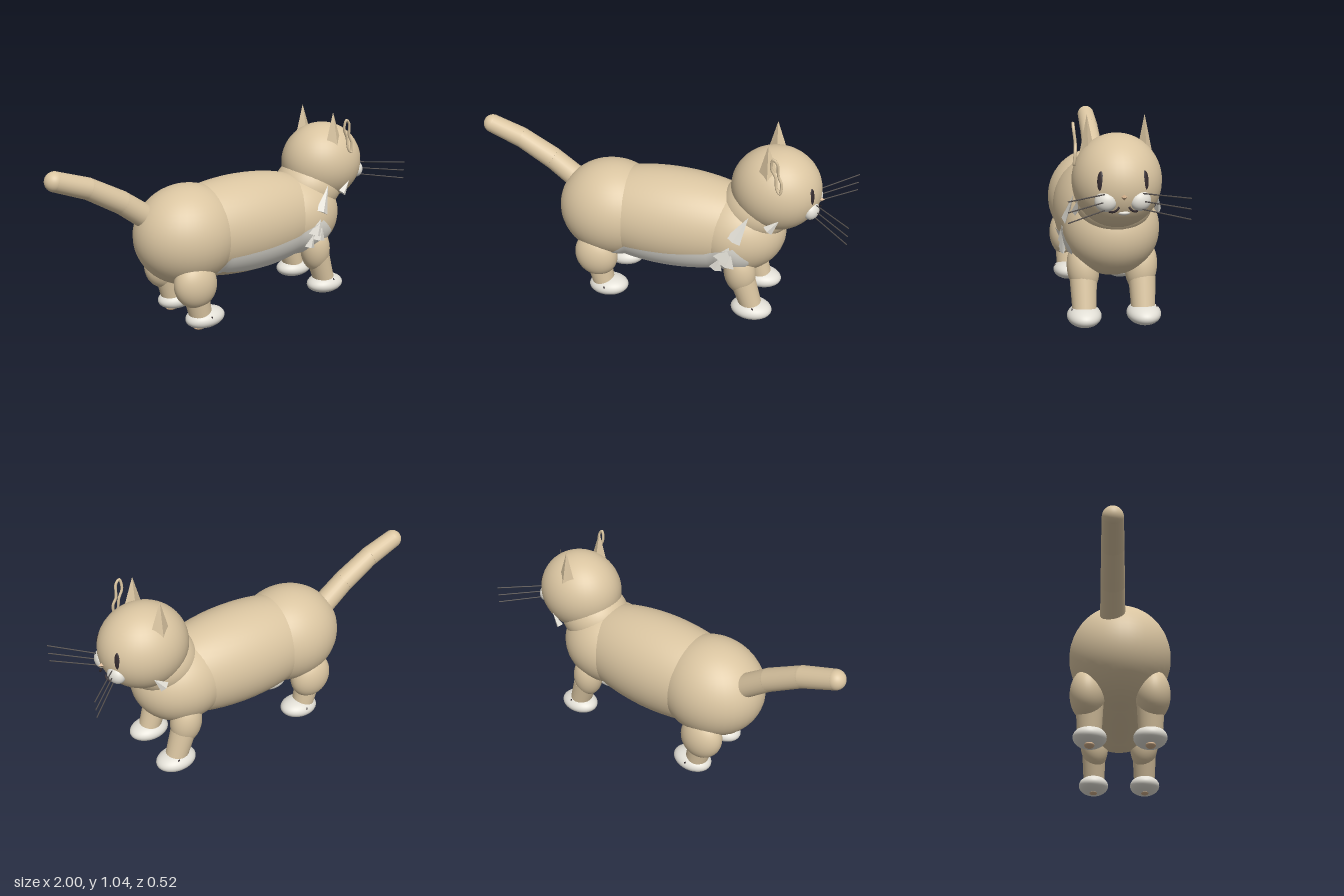
import * as THREE from 'three';

const mat = (name, color, side = THREE.FrontSide) => {
  const m = new THREE.MeshStandardMaterial({ color, side });
  m.name = name;
  return m;
};

export function createModel() {
  const cat = new THREE.Group();
  cat.name = 'cat';
  const fur = mat('tan fur', 0xdac5a1);
  const white = mat('white fur', 0xe2dfd6);
  const dark = mat('dark features', 0x352c30);
  const wire = mat('whisker grey', 0x55504e);
  const pink = mat('nose tan', 0xd2b08c);

  const add = (name, geo, material, pos = [0, 0, 0], rot = [0, 0, 0], scale = [1, 1, 1]) => {
    const m = new THREE.Mesh(geo, material);
    m.name = name;
    m.position.set(...pos);
    m.rotation.set(...rot);
    m.scale.set(...scale);
    cat.add(m);
    return m;
  };
  const ball = new THREE.SphereGeometry(1, 40, 28);
  const blob = (name, material, pos, radii, rot) => add(name, ball, material, pos, rot, radii);

  // Rod between two points, wider at the first if r0 > r1
  const rod = (name, material, a, b, r0, r1, sides = 24) => {
    const A = new THREE.Vector3(...a), B = new THREE.Vector3(...b);
    const d = B.clone().sub(A);
    const m = add(name, new THREE.CylinderGeometry(r1, r0, d.length(), sides), material);
    m.position.copy(A).add(B).multiplyScalar(0.5);
    m.quaternion.setFromUnitVectors(new THREE.Vector3(0, 1, 0), d.normalize());
  };

  // Four-sided flattened spike, faceted
  const spikeGeo = new THREE.ConeGeometry(1, 1, 4).toNonIndexed();
  spikeGeo.computeVertexNormals();
  const spike = (name, material, pos, size, rot) => add(name, spikeGeo, material, pos, rot, size);

  // Torso: overlapping ellipsoids
  const torso = [
    ['hips', [-0.26, 0.48, 0], [0.29, 0.265, 0.255]],
    ['barrel', [0.07, 0.48, 0], [0.59, 0.267, 0.25]],
    ['chest', [0.42, 0.475, 0], [0.26, 0.23, 0.235]],
    ['neck', [0.52, 0.62, 0], [0.19, 0.16, 0.18]],
  ];
  torso.forEach(([name, pos, radii]) => blob(name, fur, pos, radii));
  const sideZ = (x, y) => Math.max(...torso.map(([, p, r]) =>
    r[2] * Math.sqrt(Math.max(0, 1 - ((x - p[0]) / r[0]) ** 2 - ((y - p[1]) / r[1]) ** 2))));

  // White flank patch laid over the left side of the torso
  const lerpCurve = (pts, x) => {
    const i = Math.max(1, pts.findIndex((p) => p[0] >= x - 1e-6));
    const [a, b] = [pts[i - 1], pts[i]];
    return THREE.MathUtils.mapLinear(x, a[0], b[0], a[1], b[1]);
  };
  const upper = [[-0.21, 0.31], [-0.13, 0.385], [0.1, 0.4], [0.3, 0.425], [0.45, 0.49], [0.53, 0.41]];
  const lower = [[-0.21, 0.31], [-0.1, 0.28], [0.05, 0.26], [0.2, 0.255], [0.36, 0.275], [0.48, 0.33], [0.53, 0.39]];
  const patch = new THREE.PlaneGeometry(1, 1, 37, 10);
  const pp = patch.attributes.position;
  for (let i = 0; i < pp.count; i++) {
    const x = -0.21 + 0.74 * (pp.getX(i) + 0.5);
    const y = THREE.MathUtils.lerp(lerpCurve(lower, x), lerpCurve(upper, x), pp.getY(i) + 0.5);
    pp.setXYZ(i, x, y, sideZ(x, y) + 0.007);
  }
  patch.computeVertexNormals();
  add('flankPatch', patch, white);

  // Tail: three tapering sections with a round tip
  const tail = [[-0.44, 0.57], [-0.61, 0.697], [-0.785, 0.797], [-0.95, 0.857]];
  for (let i = 0; i < 3; i++) {
    const r = 0.063 - i * 0.004;
    const z = -0.037;
    rod('tailSection', fur, [...tail[i], z], [...tail[i + 1], z], r, r - 0.005);
    blob('tailJoint', fur, [...tail[i + 1], z], [1, 1, 1].map(() => r - 0.005));
  }

  // Head
  blob('head', fur, [0.61, 0.745, 0], [0.228, 0.217, 0.207]);
  spike('nose', pink, [0.845, 0.713, 0], [0.014, 0.022, 0.015], [0, 0, -Math.PI / 2]);
  blob('chin', white, [0.79, 0.635, -0.005], [0.025, 0.013, 0.032]);

  for (const s of [1, -1]) {
    // Ears and cheek tufts
    spike('ear', fur, [0.58, 0.955, 0.133 * s], [0.055, 0.18, 0.036], [0, 0, 0.06]);
    spike('cheekTuft', white, [0.635, 0.635, 0.19 * s], [0.028, 0.08, 0.016], [-0.1 * s, 0, -0.7]);

    // Face
    blob('eye', dark, [0.797, 0.776, 0.097 * s], [0.012, 0.047, 0.019], [0, -0.45 * s, 0.12]);
    blob('muzzle', white, [0.8, 0.688, 0.077 * s], [0.038, 0.046, 0.05], [0, -0.3 * s, 0]);
    const lip = new THREE.CatmullRomCurve3([
      [0.832, 0.668, 0.022], [0.835, 0.655, 0.032], [0.828, 0.646, 0.048], [0.812, 0.645, 0.062],
    ].map(([x, y, z]) => new THREE.Vector3(x, y, z * s)));
    add('lip', new THREE.TubeGeometry(lip, 12, 0.005, 8), dark);
    [[0.725, 0.736], [0.69, 0.69], [0.654, 0.645]].forEach(([y0, y1]) =>
      rod('whisker', wire, [0.825, y0, 0.085 * s], [0.998, y1, 0.26 * s], 0.003, 0.003, 8));

    // Front leg
    blob('frontUpperLeg', fur, [0.475, 0.29, 0.142 * s], [0.083, 0.13, 0.078], [0.1 * s, 0, 0.12]);
    rod('frontLowerLeg', fur, [0.495, 0.24, 0.143 * s], [0.545, 0.09, 0.143 * s], 0.066, 0.058);
    blob('frontPaw', white, [0.548, 0.074, 0.145 * s], [0.109, 0.051, 0.083]);

    // Hind leg
    blob('thigh', fur, [-0.31, 0.262, 0.16 * s], [0.117, 0.128, 0.086], [0, 0, 0.25]);
    rod('hindLowerLeg', fur, [-0.305, 0.22, 0.148 * s], [-0.275, 0.08, 0.148 * s], 0.068, 0.06);
    blob('hindPaw', white, [-0.248, 0.064, 0.147 * s], [0.109, 0.052, 0.083], [0, 0, 0.06]);

    // Paw pads and toe marks
    blob('hindPad', pink, [-0.28, 0.014, 0.147 * s], [0.035, 0.014, 0.025]);
    blob('frontPad', pink, [0.53, 0.027, 0.145 * s], [0.03, 0.008, 0.022]);
    blob('frontToeMark', dark, [0.565, 0.107, 0.205 * s], [0.004, 0.01, 0.004], [0, 0, 0.5]);
    blob('hindToeMark', dark, [-0.25, 0.085, 0.222 * s], [0.004, 0.009, 0.004], [0, 0, 0.5]);
  }

  // Loose looped ear flap on the left side
  const loop = new THREE.CatmullRomCurve3([
    [0.612, 1.01, 0.2], [0.632, 0.99, 0.2], [0.642, 0.92, 0.193], [0.66, 0.88, 0.196],
    [0.655, 0.828, 0.2], [0.638, 0.85, 0.195], [0.628, 0.91, 0.191], [0.605, 0.96, 0.194],
  ].map((p) => new THREE.Vector3(...p)), true);
  add('earFlap', new THREE.TubeGeometry(loop, 48, 0.007, 8, true), fur);

  // Shoulder tufts on the left side
  spike('shoulderTuft', white, [0.478, 0.595, 0.207], [0.04, 0.15, 0.018], [-0.25, 0, -0.45]);
  spike('shoulderTuft', white, [0.415, 0.455, 0.238], [0.052, 0.09, 0.018], [0, 0, -0.35]);
  spike('shoulderTuft', white, [0.43, 0.42, 0.238], [0.045, 0.08, 0.016], [0, 0, -0.3]);
  spike('shoulderTuft', white, [0.375, 0.385, 0.235], [0.035, 0.075, 0.016], [0.1, 0, -0.3]);

  return cat;
}
